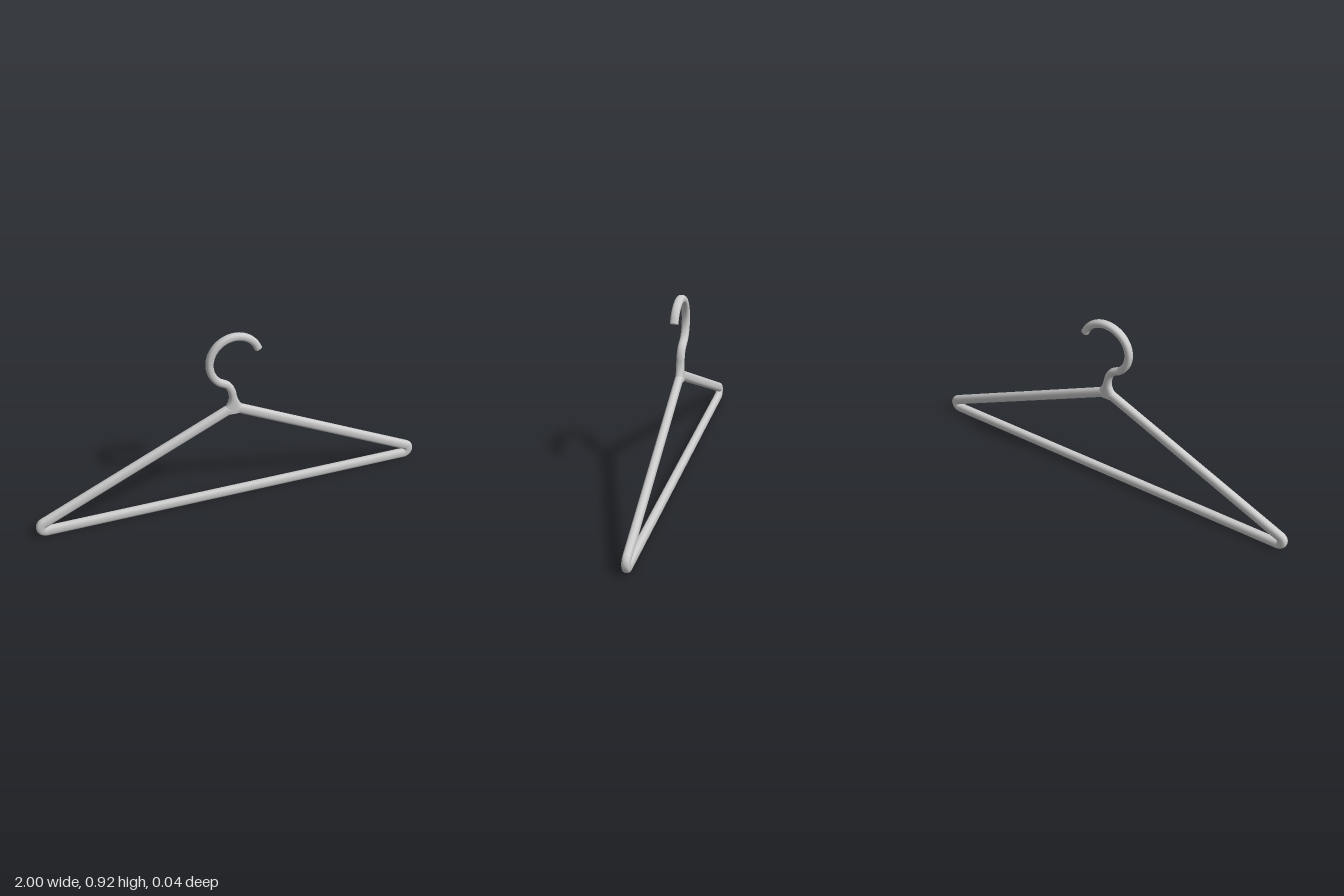
import * as THREE from 'three';

const material = new THREE.MeshStandardMaterial({ color: 0xcccccc });
const DEPTH = 0.0195; // half thickness along z
const SIDES = 24;

// Sweeps a rounded section along a flat path in the xy plane.
// halfWidth(point) is half the in-plane width of the section at that point.
function sweep(name, path, halfWidth, closed) {
  const n = path.length;
  const positions = [];
  const indices = [];
  const soften = (v) => Math.sign(v) * Math.abs(v) ** 0.82;

  const addRing = (i) => {
    const p = path[i];
    const prev = path[closed ? (i + n - 1) % n : Math.max(i - 1, 0)];
    const next = path[closed ? (i + 1) % n : Math.min(i + 1, n - 1)];
    const t = p.clone().sub(prev).normalize().add(next.clone().sub(p).normalize()).normalize();
    const w = halfWidth(p);
    for (let j = 0; j < SIDES; j++) {
      const a = (j / SIDES) * Math.PI * 2;
      const u = soften(Math.cos(a)) * w;
      positions.push(p.x - t.y * u, p.y + t.x * u, soften(Math.sin(a)) * DEPTH);
    }
  };

  for (let i = 0; i < n; i++) addRing(i);
  for (let i = 0; i < (closed ? n : n - 1); i++) {
    const r0 = i * SIDES;
    const r1 = ((i + 1) % n) * SIDES;
    for (let j = 0; j < SIDES; j++) {
      const k = (j + 1) % SIDES;
      indices.push(r0 + j, r0 + k, r1 + k, r0 + j, r1 + k, r1 + j);
    }
  }

  // Flat end caps with their own vertices, so the rims stay sharp
  if (!closed) {
    for (const end of [0, n - 1]) {
      const base = positions.length / 3;
      addRing(end);
      for (let j = 1; j < SIDES - 1; j++) {
        if (end === 0) indices.push(base, base + j + 1, base + j);
        else indices.push(base, base + j, base + j + 1);
      }
    }
  }

  const geometry = new THREE.BufferGeometry();
  geometry.setAttribute('position', new THREE.Float32BufferAttribute(positions, 3));
  geometry.setIndex(indices);
  geometry.computeVertexNormals();
  const mesh = new THREE.Mesh(geometry, material);
  mesh.name = name;
  return mesh;
}

// Triangular frame: bottom bar, two rounded corners, sloping arms, flat apex
function makeFrame() {
  const radius = 0.025;
  const slope = THREE.MathUtils.degToRad(24.9);
  const right = [];
  const steps = 14;
  for (let i = 0; i <= steps; i++) {
    const a = THREE.MathUtils.lerp(-Math.PI / 2, Math.PI / 2 - slope, i / steps);
    right.push(new THREE.Vector2(0.95 + radius * Math.cos(a), 0.05 + radius * Math.sin(a)));
  }
  right.push(new THREE.Vector2(0.03, 0.505));
  const left = right.map((p) => new THREE.Vector2(-p.x, p.y)).reverse();
  return sweep('frame', [...right, ...left], () => 0.025, true);
}

// Hook with an S-shaped neck that flares out where it joins the arms
function makeHook() {
  const points = [[0, 0.49], [0, 0.54], [-0.003, 0.575], [-0.012, 0.615], [-0.031, 0.645]]
    .map(([x, y]) => new THREE.Vector3(x, y, 0));
  for (let deg = 230; deg >= 22; deg -= 16) {
    const a = THREE.MathUtils.degToRad(deg);
    points.push(new THREE.Vector3(0.006 + 0.125 * Math.cos(a), 0.769 + 0.128 * Math.sin(a), 0));
  }
  const path = new THREE.CatmullRomCurve3(points).getSpacedPoints(110)
    .map((p) => new THREE.Vector2(p.x, p.y));
  const flare = (p) => {
    const t = THREE.MathUtils.clamp((0.585 - p.y) / 0.065, 0, 1);
    return 0.0185 + 0.027 * t * t;
  };
  return sweep('hook', path, flare, false);
}

export function createModel() {
  const group = new THREE.Group();
  group.name = 'clothesHanger';
  group.add(makeFrame(), makeHook());
  return group;
}
